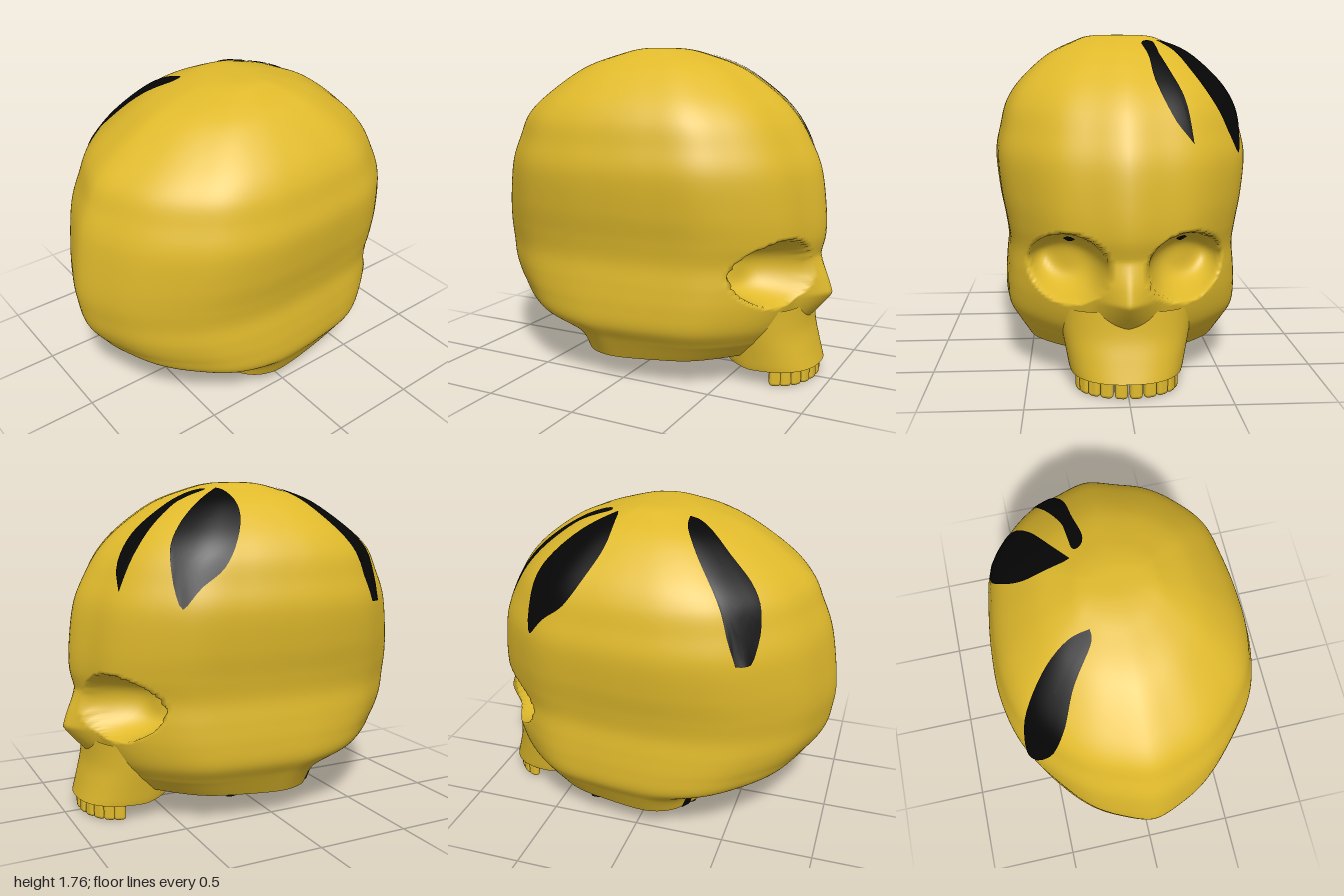
import * as THREE from 'three';
import { RoundedBoxGeometry } from 'three/addons/geometries/RoundedBoxGeometry.js';

const bone = new THREE.MeshStandardMaterial({ color: 0xe0ba2c });
bone.name = 'goldBone';
const black = new THREE.MeshStandardMaterial({ color: 0x060606, side: THREE.DoubleSide });
black.name = 'blackPaint';

// Horizontal rings of the cranium: [height, half width, back z, front depth]
const RINGS = [
  [0.125, 0.53, 0.40, 0.71], [0.24, 0.59, 0.47, 0.79], [0.33, 0.64, 0.79, 0.85],
  [0.44, 0.647, 0.90, 0.895], [0.55, 0.64, 0.965, 0.915], [0.67, 0.63, 0.99, 0.92],
  [0.79, 0.645, 1.0, 0.945], [0.94, 0.673, 0.985, 0.94], [1.13, 0.69, 0.95, 0.91],
  [1.27, 0.665, 0.895, 0.85], [1.40, 0.63, 0.83, 0.77], [1.52, 0.55, 0.69, 0.65],
  [1.655, 0.40, 0.475, 0.45], [1.73, 0.25, 0.25, 0.24], [1.758, 0.16, 0.11, 0.11],
  [1.762, 0.001, 0.001, 0.001],
];
const LAST = RINGS.length - 1;
const widthCurve = new THREE.SplineCurve(RINGS.map(r => new THREE.Vector2(r[1], r[0])));
const depthCurve = new THREE.SplineCurve(RINGS.map(r => new THREE.Vector2(r[2], r[3])));

// Plan outline as a radius every 15 degrees, from the back (+z) round to the face
const outlineCurve = new THREE.SplineCurve(
  [1, 0.982, 0.994, 1.012, 1.045, 1.03, 1.0, 1.0, 1.035, 1.015, 1.0, 0.976, 1].map((r, i) => new THREE.Vector2(i, r)));
const planRadius = a => outlineCurve.getPoint(Math.abs(Math.atan2(Math.sin(a), Math.cos(a))) / Math.PI).y;

function ringAt(v) {
  const t = THREE.MathUtils.clamp(v, 0, 1);
  const a = widthCurve.getPoint(t), b = depthCurve.getPoint(t);
  return { w: a.x, y: a.y, back: b.x, front: b.y };
}

// The base rises a little towards the face
const baseRise = z => 0.06 * Math.max(0, -z);

// Point on the cranium at angle a (0 = +z) and height parameter v
function craniumPoint(a, v) {
  const { w, y, back, front } = ringAt(v);
  const r = planRadius(a), c = Math.cos(a);
  const x = w * r * Math.sin(a);
  let z = (c > 0 ? back : front) * r * c;
  const lift = baseRise(z) * Math.max(0, 1 - v * LAST);
  if (c < 0) {
    // nose ridge
    const rise = y > 0.48 ? (0.68 - y) / 0.2 : (y - 0.3) / 0.18;
    z -= 0.09 * Math.max(0, rise) * Math.max(0, 1 - Math.abs(x) / 0.17);
    // eye sockets
    const e = ((Math.abs(x) - 0.29) / 0.2) ** 2 + ((y - 0.625) / 0.175) ** 2;
    if (e < 1) z += 0.26 * (1 - e * e);
  }
  return new THREE.Vector3(x, y + lift, z);
}

// Closed rings joined into one smooth skin
function loft(point, rows, cols) {
  const pos = [], idx = [];
  for (let i = 0; i <= rows; i++) {
    for (let j = 0; j < cols; j++) pos.push(...point(j / cols * Math.PI * 2, i / rows).toArray());
  }
  for (let i = 0; i < rows; i++) {
    for (let j = 0; j < cols; j++) {
      const k = (j + 1) % cols;
      const a = i * cols + j, b = i * cols + k, c = b + cols, d = a + cols;
      idx.push(a, b, c, a, c, d);
    }
  }
  const g = new THREE.BufferGeometry();
  g.setAttribute('position', new THREE.Float32BufferAttribute(pos, 3));
  g.setIndex(idx);
  g.computeVertexNormals();
  return g;
}

// Underside: shrinks a ring to its centre
const underside = (ring, centre) =>
  loft((a, t) => centre.clone().lerp(ring(a), t), 4, 96);

// Painted patch: a smooth outline filled by rings and laid on a surface
function patch(outline, lay) {
  const curve = new THREE.SplineCurve([...outline, outline[0]].map(p => new THREE.Vector2(...p)));
  const centre = new THREE.Vector2();
  outline.forEach(p => centre.add(new THREE.Vector2(...p)));
  centre.divideScalar(outline.length);
  return loft((a, t) => {
    const q = centre.clone().lerp(curve.getPoint(a / (Math.PI * 2)), t);
    return lay(q.x, q.y);
  }, 10, 48);
}

// Drops plan position (x, z) onto the upper cranium, lifted slightly
function onCrown(x, z) {
  let lo = 8 / LAST, hi = 1;
  for (let i = 0; i < 30; i++) {
    const mid = (lo + hi) / 2, r = ringAt(mid);
    const u = x / r.w, d = z / (z > 0 ? r.back : r.front);
    if (Math.hypot(u, d) < planRadius(Math.atan2(u, d))) lo = mid; else hi = mid;
  }
  const m = new THREE.Vector3(0, 0.9, 0);
  return new THREE.Vector3(x, ringAt(lo).y, z).sub(m).multiplyScalar(1.006).add(m);
}

export function createModel() {
  const model = new THREE.Group();
  const add = (name, geometry, material = bone, parent = model) => {
    const mesh = new THREE.Mesh(geometry, material);
    mesh.name = name;
    parent.add(mesh);
    return mesh;
  };

  // Cranium with face, and its flat base
  add('cranium', loft(craniumPoint, 135, 192));
  add('skullBase', underside(a => craniumPoint(a, 0), new THREE.Vector3(0, 0.125, 0)));

  // Upper jaw
  const jawLevels = new THREE.SplineCurve([[0.085, 0.94], [0.18, 0.91], [0.29, 0.88], [0.42, 0.87]]
    .map(p => new THREE.Vector2(...p)));
  const signedPow = s => Math.sign(s) * Math.pow(Math.abs(s), 0.85);
  const jawRing = (a, t) => {
    const l = jawLevels.getPoint(t), s = Math.sin(a), c = Math.cos(a);
    return new THREE.Vector3((0.285 + 0.06 * t) * signedPow(s), l.x + (c > 0 ? 0.06 * c * (1 - t) : 0),
      -0.64 + (c > 0 ? 0.22 : l.y - 0.64) * signedPow(c));
  };
  add('upperJaw', loft(jawRing, 16, 96));
  add('palate', underside(a => jawRing(a, 0), new THREE.Vector3(0, 0.11, -0.64)));

  // Arch of teeth
  const teeth = new THREE.Group();
  teeth.name = 'teeth';
  model.add(teeth);
  const count = 10;
  for (let i = 0; i < count; i++) {
    const a = ((i + 0.5) / count - 0.5) * Math.PI * 0.98;
    const tooth = add('tooth', new RoundedBoxGeometry(0.064, 0.115, 0.045, 2, 0.02), bone, teeth);
    tooth.position.set(0.235 * Math.sin(a), 0.0575, -0.735 - 0.165 * Math.cos(a));
    tooth.rotation.y = -Math.atan2(0.165 * Math.sin(a), 0.235 * Math.cos(a));
  }

  // Black markings on the right of the crown
  add('rearMarking', patch([[-0.17, 0.2], [-0.28, 0.22], [-0.42, 0.31], [-0.55, 0.45], [-0.595, 0.54],
    [-0.57, 0.61], [-0.46, 0.645], [-0.38, 0.58], [-0.3, 0.43], [-0.18, 0.27]], onCrown), black);
  add('sideMarking', patch([[-0.19, -0.18], [-0.27, -0.3], [-0.36, -0.46], [-0.45, -0.55], [-0.57, -0.55],
    [-0.6, -0.44], [-0.605, -0.31], [-0.54, -0.22], [-0.42, -0.16], [-0.25, -0.165]], onCrown), black);
  add('browMarking', patch([[-0.32, -0.77], [-0.22, -0.74], [-0.15, -0.62], [-0.13, -0.45], [-0.105, -0.3],
    [-0.13, -0.235], [-0.17, -0.24], [-0.18, -0.38], [-0.23, -0.53], [-0.29, -0.66]], onCrown), black);

  // Black markings low on the right and beneath
  const onSide = (a, v) => {
    const p = craniumPoint(a, v);
    return p.add(new THREE.Vector3(p.x, -0.1, p.z).normalize().multiplyScalar(0.006));
  };
  add('lowMarking', patch([[-0.93, 0.003], [-0.82, 0.003], [-0.77, 0.06], [-0.74, 0.1],
    [-0.8, 0.113], [-0.86, 0.09], [-0.88, 0.05]], onSide), black);
  const below = (x, z) => new THREE.Vector3(x, 0.12 + baseRise(z), z);
  add('baseBackMarking', patch([[-0.39, 0.26], [-0.33, 0.3], [-0.2, 0.08], [-0.1, -0.07],
    [-0.15, -0.09], [-0.27, 0.05]], below), black);
  add('baseSideMarking', patch([[-0.12, -0.04], [-0.2, -0.07], [-0.38, -0.14], [-0.49, -0.2],
    [-0.5, -0.27], [-0.38, -0.21], [-0.2, -0.13], [-0.1, -0.1]], below), black);
  add('baseSpot', patch([[0.06, -0.22], [0.1, -0.22], [0.14, -0.28], [0.11, -0.32], [0.06, -0.28]], below), black);

  // Dark openings in the roofs of the eye sockets
  const inSocket = (a, v) => craniumPoint(a, v).add(new THREE.Vector3(0, -0.006, -0.006));
  for (const side of [-1, 1]) {
    add('socketOpening', patch([[-0.05, 0], [0, 0.012], [0.05, 0], [0, -0.012]]
      .map(([a, v]) => [side * (2.675 + a), 0.375 + v]), inSocket), black);
  }

  return model;
}
